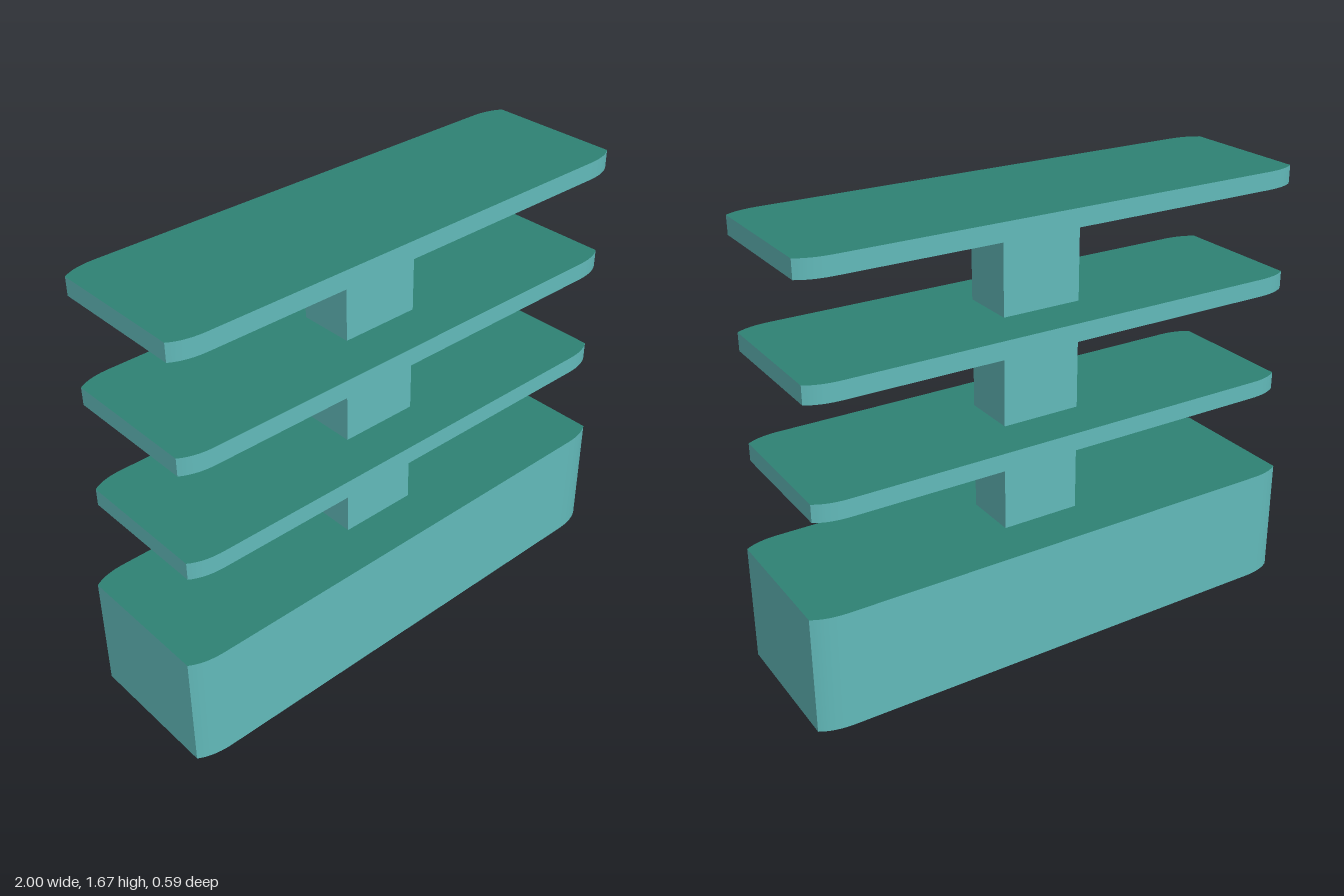
import * as THREE from 'three';
import { toCreasedNormals } from 'three/addons/utils/BufferGeometryUtils.js';

const sideTeal = new THREE.MeshStandardMaterial({ color: 0x62baba, side: THREE.DoubleSide });
sideTeal.name = 'sideTeal';
const topGreen = new THREE.MeshStandardMaterial({ color: 0x2e8274, side: THREE.DoubleSide });
topGreen.name = 'topGreen';

// Counter-clockwise outline: long sides bow softly into straight, creased ends
function roundedOutline(hx, hz, dx, dz) {
  const curve = new THREE.QuadraticBezierCurve(
    new THREE.Vector2(hx, hz - dz),
    new THREE.Vector2(hx - dx * 0.38, hz),
    new THREE.Vector2(hx - dx, hz));
  const corner = curve.getPoints(10);
  const mirror = (sx, sy) => corner.map(p => new THREE.Vector2(p.x * sx, p.y * sy));
  return [
    ...corner,
    ...mirror(-1, 1).reverse(),
    ...mirror(-1, -1),
    ...mirror(1, -1).reverse(),
  ];
}

function rectOutline(hx, hz) {
  return [[hx, hz], [-hx, hz], [-hx, -hz], [hx, -hz]].map(p => new THREE.Vector2(...p));
}

// Upright walls around an outline, open above and below
function wallGeometry(outline, y0, y1) {
  const pos = [];
  outline.forEach((a, i) => {
    const b = outline[(i + 1) % outline.length];
    pos.push(a.x, a.y, y0, b.x, b.y, y0, b.x, b.y, y1);
    pos.push(a.x, a.y, y0, b.x, b.y, y1, a.x, a.y, y1);
  });
  const g = new THREE.BufferGeometry();
  g.setAttribute('position', new THREE.Float32BufferAttribute(pos, 3));
  return toCreasedNormals(g.rotateX(-Math.PI / 2), 0.5);
}

// A hollow part: walls plus a lid, open underneath
function shell(name, outline, y0, y1) {
  const group = new THREE.Group();
  group.name = name;
  const walls = new THREE.Mesh(wallGeometry(outline, y0, y1), sideTeal);
  walls.name = name + 'Walls';
  const lid = new THREE.Mesh(
    new THREE.ShapeGeometry(new THREE.Shape(outline)).rotateX(-Math.PI / 2), topGreen);
  lid.position.y = y1;
  lid.name = name + 'Top';
  group.add(walls, lid);
  return group;
}

export function createModel() {
  const model = new THREE.Group();
  model.name = 'tieredStand';

  // Base block
  model.add(shell('base', roundedOutline(1, 0.295, 0.13, 0.032), 0, 0.45));

  // Central column running through the lower shelves
  model.add(shell('column', rectOutline(0.153, 0.105), 0.45, 1.602));

  // Three shallow tray shelves
  const shelfOutline = roundedOutline(0.96, 0.285, 0.125, 0.032);
  [0.795, 1.203, 1.602].forEach((y, i) => {
    model.add(shell('shelf' + (i + 1), shelfOutline, y, y + 0.066));
  });

  return model;
}
